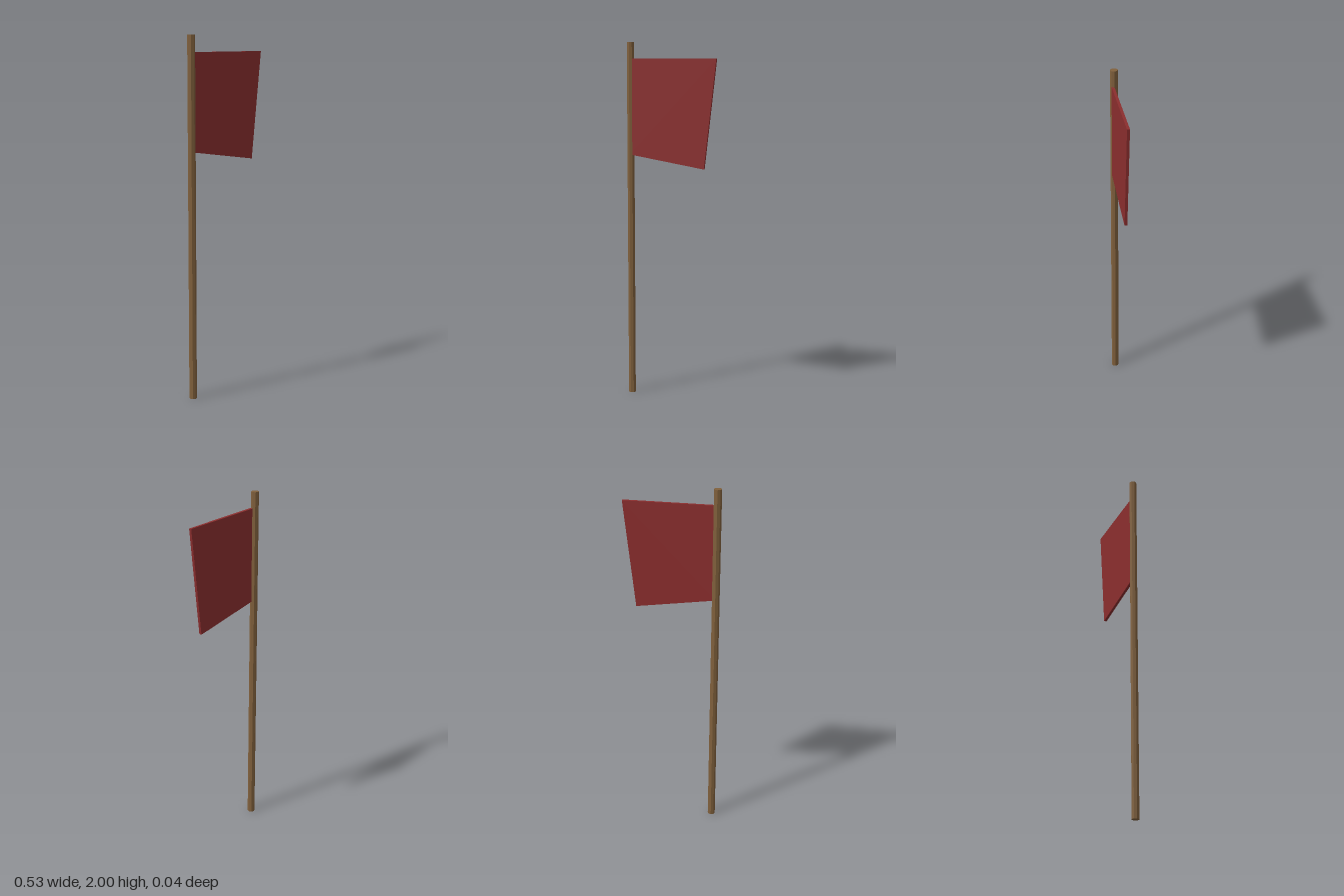
import * as THREE from 'three';

const POLE_X = -0.243;

export function createModel() {
  const model = new THREE.Group();
  model.name = 'flag';

  // Eight-sided wooden pole
  const pole = new THREE.Mesh(
    new THREE.CylinderGeometry(0.021, 0.021, 2, 8),
    new THREE.MeshStandardMaterial({ color: 0x80603c, flatShading: true })
  );
  pole.name = 'pole';
  pole.position.set(POLE_X, 1, 0);
  model.add(pole);

  // Skewed cloth panel, fixed to the front half of the pole
  const outline = new THREE.Shape([
    new THREE.Vector2(POLE_X, 1.38),
    new THREE.Vector2(0.195, 1.312),
    new THREE.Vector2(0.263, 1.91),
    new THREE.Vector2(POLE_X, 1.91),
  ]);
  const cloth = new THREE.Mesh(
    new THREE.ExtrudeGeometry(outline, { depth: 0.015, bevelEnabled: false }),
    new THREE.MeshStandardMaterial({ color: 0x8b2e2e, flatShading: true })
  );
  cloth.name = 'cloth';
  model.add(cloth);

  return model;
}
